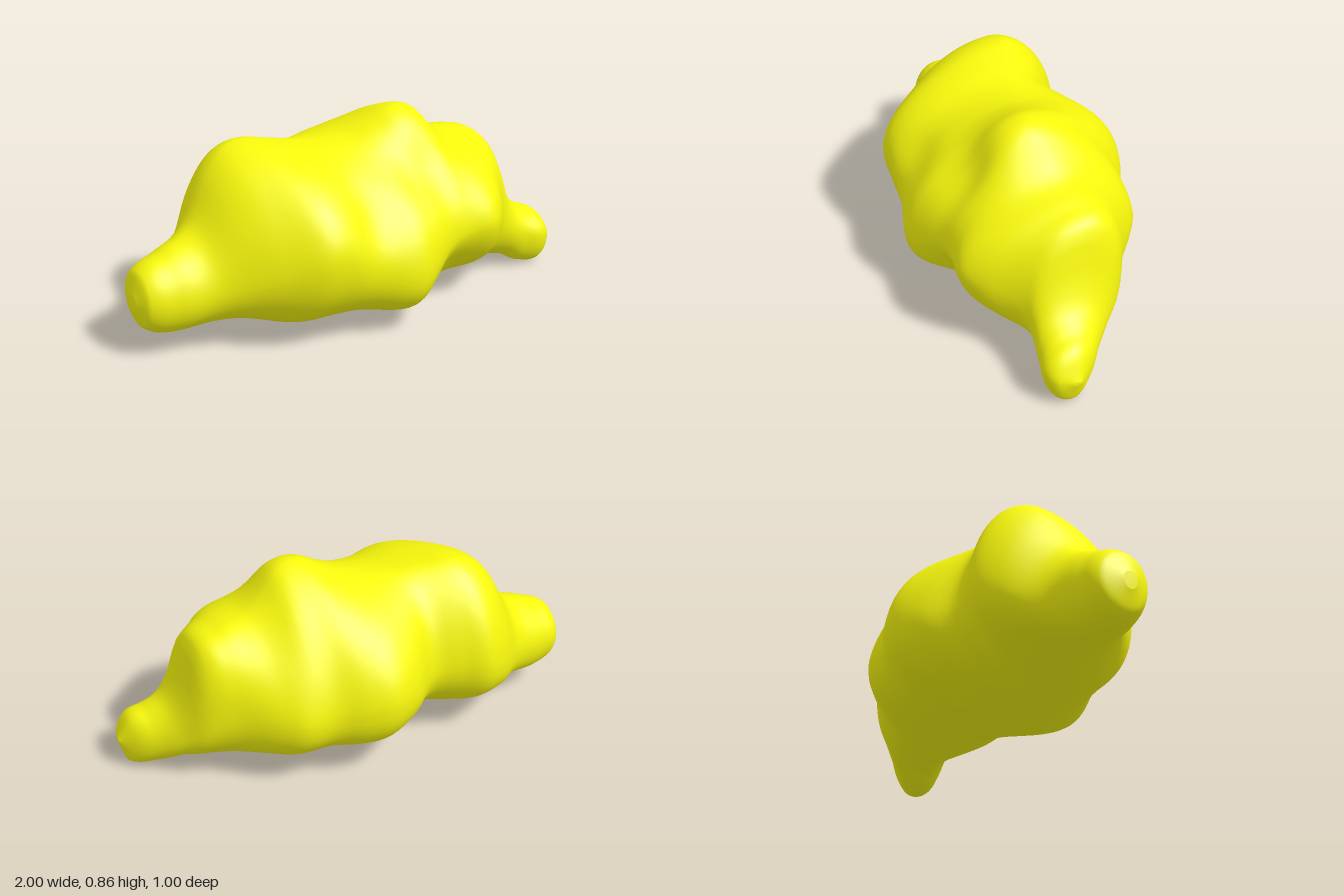
import * as THREE from 'three';

// Smooth curve through [x, value] points
function profile(points) {
  const n = points.length;
  const slope = i => {
    const a = points[Math.max(i - 1, 0)], b = points[Math.min(i + 1, n - 1)];
    return (b[1] - a[1]) / (b[0] - a[0]);
  };
  return x => {
    let i = 0;
    while (i < n - 2 && x > points[i + 1][0]) i++;
    const [x0, v0] = points[i], [x1, v1] = points[i + 1];
    const w = x1 - x0, t = THREE.MathUtils.clamp((x - x0) / w, 0, 1);
    const t2 = t * t, t3 = t2 * t;
    return v0 * (2 * t3 - 3 * t2 + 1) + slope(i) * w * (t3 - 2 * t2 + t)
      + v1 * (3 * t2 - 2 * t3) + slope(i + 1) * w * (t3 - t2);
  };
}

// Height of the top and bottom ridges, and where they run in z
const topY = profile([[-1, 0.28], [-0.97, 0.37], [-0.85, 0.43], [-0.71, 0.5], [-0.6, 0.68], [-0.52, 0.76], [-0.42, 0.79],
  [-0.3, 0.775], [-0.15, 0.755], [0, 0.77], [0.1, 0.81], [0.2, 0.855], [0.31, 0.84], [0.4, 0.745], [0.47, 0.695],
  [0.6, 0.665], [0.71, 0.61], [0.75, 0.45], [0.8, 0.33], [0.87, 0.27], [0.95, 0.23], [1, 0.13]]);
const topZ = profile([[-1, -0.04], [-0.8, -0.05], [-0.45, -0.14], [-0.2, -0.07], [0.05, 0], [0.25, 0.035],
  [0.5, -0.03], [0.65, -0.03], [0.8, 0.07], [1, 0.14]]);
const bottomY = profile([[-1, 0.21], [-0.97, 0.13], [-0.86, 0.085], [-0.6, 0.1], [-0.38, 0.055], [-0.14, 0.07],
  [0.06, 0.04], [0.25, 0.053], [0.76, 0.05], [0.84, 0.01], [0.96, 0.005], [1, 0.11]]);
const bottomZ = profile([[-1, -0.04], [-0.7, -0.03], [-0.35, 0.08], [0.05, 0.12], [0.35, 0.03], [0.65, 0.05], [0.85, 0.14], [1, 0.14]]);

// Reach of the front and back sides, and the height of their widest points
const frontZ = profile([[-1, -0.01], [-0.97, 0.06], [-0.85, 0.11], [-0.7, 0.17], [-0.5, 0.34], [-0.37, 0.435], [-0.25, 0.45],
  [-0.12, 0.45], [0.06, 0.495], [0.17, 0.465], [0.27, 0.425], [0.37, 0.415], [0.49, 0.425], [0.57, 0.37], [0.65, 0.275],
  [0.72, 0.225], [0.83, 0.23], [0.92, 0.245], [0.98, 0.21], [1, 0.15]]);
const frontY = profile([[-1, 0.25], [-0.75, 0.26], [-0.5, 0.36], [-0.3, 0.43], [-0.1, 0.33], [0.06, 0.28], [0.2, 0.31],
  [0.35, 0.37], [0.5, 0.38], [0.65, 0.33], [0.78, 0.19], [1, 0.12]]);
const backZ = profile([[-1, -0.07], [-0.97, -0.16], [-0.88, -0.195], [-0.73, -0.235], [-0.6, -0.355], [-0.48, -0.41],
  [-0.36, -0.37], [-0.24, -0.345], [-0.13, -0.44], [0, -0.5], [0.11, -0.48], [0.23, -0.425], [0.37, -0.41], [0.45, -0.36],
  [0.58, -0.26], [0.71, -0.18], [0.78, -0.1], [0.85, -0.03], [0.93, 0.035], [1, 0.12]]);
const backY = profile([[-1, 0.25], [-0.75, 0.27], [-0.45, 0.38], [-0.2, 0.36], [0, 0.37], [0.38, 0.32], [0.65, 0.33],
  [0.8, 0.18], [1, 0.12]]);

// Corner fullness of each quarter: below 1 is boxy, above 1 is sloping
const upperFront = profile([[-1, 1], [-0.5, 1.1], [-0.28, 1], [0, 1.08], [0.22, 1.12], [0.5, 1.12], [0.65, 1], [0.8, 1], [1, 1]]);
const upperBack = profile([[-1, 1], [-0.5, 1.12], [-0.2, 1.1], [0, 1.06], [0.35, 1.25], [0.52, 1.08], [0.68, 0.8], [0.8, 0.95], [1, 1]]);
const lowerFront = profile([[-1, 1], [-0.4, 1], [0.05, 0.84], [0.28, 1.1], [0.5, 1.1], [0.75, 1], [1, 1]]);
const lowerBack = profile([[-1, 1], [-0.5, 0.9], [-0.25, 1.05], [0, 0.86], [0.4, 0.92], [0.7, 1], [1, 1]]);

// Local dents: centre, radius, push
const dents = [
  { at: [0.2, 0.68, 0.3], radius: 0.17, push: [0, -0.045, -0.055] }, // hollow under the peak
  { at: [-0.08, 0.55, 0.4], radius: 0.12, push: [0, -0.01, -0.02] }, // dip between the front lobes
  { at: [0.27, 0.2, 0.38], radius: 0.12, push: [0, 0.01, -0.03] }, // cleft beside the front knob
];

// Point on the cross-section at x; angle runs front, top, back, bottom
function sectionPoint(x, angle) {
  const c = Math.cos(angle), s = Math.sin(angle);
  const front = c >= 0, up = s >= 0;
  const e = (up ? (front ? upperFront : upperBack) : (front ? lowerFront : lowerBack))(x);
  const sideZ = (front ? frontZ : backZ)(x), sideY = (front ? frontY : backY)(x);
  const ridgeZ = (up ? topZ : bottomZ)(x), ridgeY = (up ? topY : bottomY)(x);
  const point = new THREE.Vector3(
    x,
    sideY + (ridgeY - sideY) * Math.abs(s) ** e,
    ridgeZ + (sideZ - ridgeZ) * Math.abs(c) ** e,
  );
  const moved = point.clone();
  for (const { at, radius, push } of dents) {
    const distance = point.distanceTo(new THREE.Vector3(...at)) / radius;
    moved.addScaledVector(new THREE.Vector3(...push), Math.exp(-distance * distance));
  }
  return moved.toArray();
}

function bodyGeometry(rings = 120, sides = 72) {
  const positions = [], index = [];
  for (let i = 0; i <= rings; i++) {
    const x = -Math.cos(Math.PI * i / rings);
    const cap = i === 0 || i === rings; // the end rings close to a point
    for (let j = 0; j < sides; j++) {
      positions.push(...(cap
        ? [x, (topY(x) + bottomY(x)) / 2, (frontZ(x) + backZ(x)) / 2]
        : sectionPoint(x, 2 * Math.PI * j / sides)));
      if (i === rings) continue;
      const a = i * sides + j, b = i * sides + (j + 1) % sides;
      index.push(a, a + sides, b, b, a + sides, b + sides);
    }
  }
  const geometry = new THREE.BufferGeometry();
  geometry.setAttribute('position', new THREE.Float32BufferAttribute(positions, 3));
  geometry.setIndex(index);
  geometry.computeVertexNormals();
  return geometry;
}

export function createModel() {
  const group = new THREE.Group();
  group.name = 'lumpyNugget';
  // One continuous lumpy body with a thick stub and a thin stub at its ends
  const body = new THREE.Mesh(bodyGeometry(), new THREE.MeshStandardMaterial({ color: 0xf8f80d }));
  body.name = 'body';
  group.add(body);
  return group;
}
